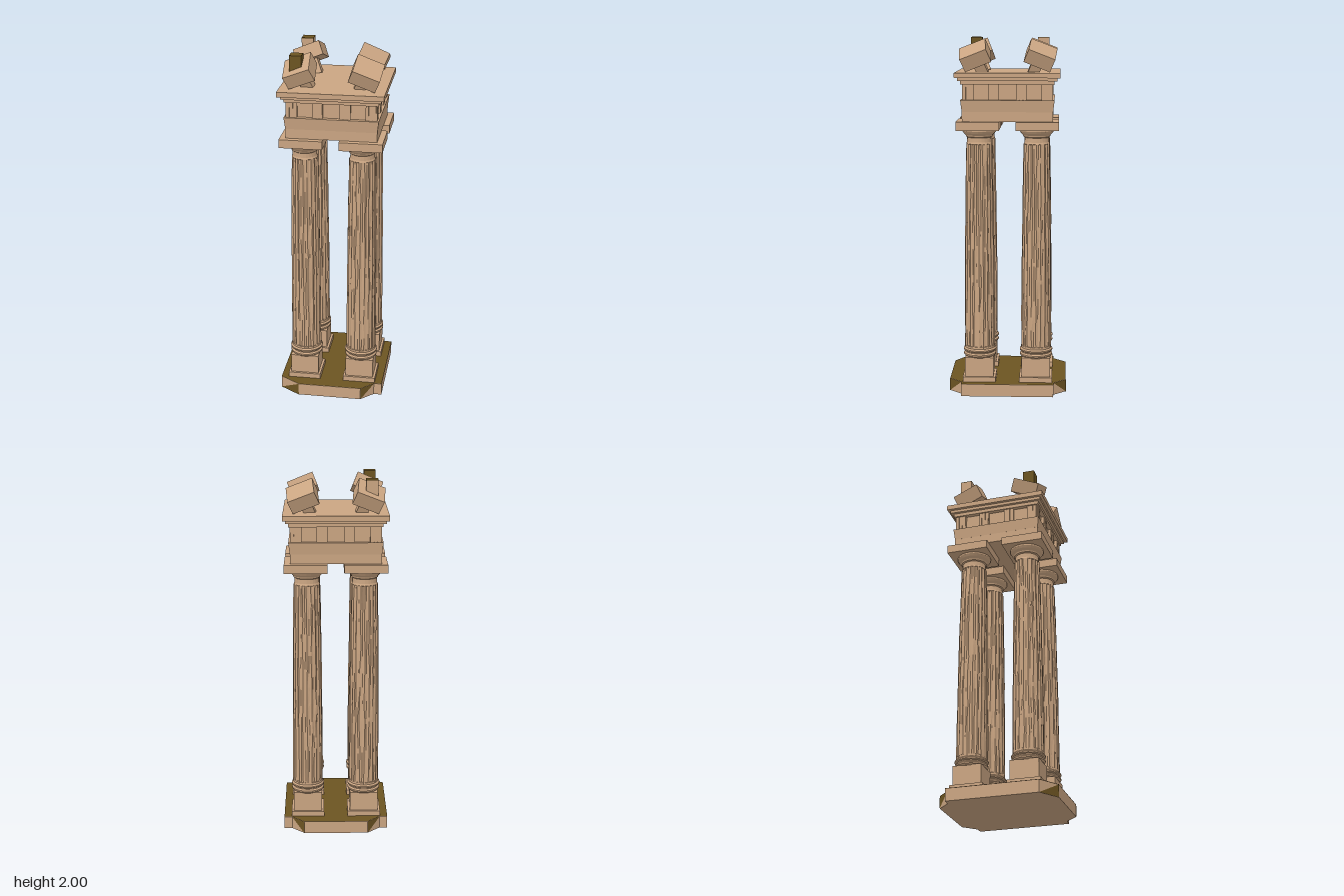
import * as THREE from 'three';

const stone = new THREE.MeshStandardMaterial({ color: 0xcaa582, flatShading: true });
stone.name = 'sandstone';
const earth = new THREE.MeshStandardMaterial({ color: 0x6c5422, flatShading: true, side: THREE.DoubleSide });
earth.name = 'dark earth';

function add(parent, name, geometry, material, x = 0, y = 0, z = 0) {
  const mesh = new THREE.Mesh(geometry, material);
  mesh.name = name;
  mesh.position.set(x, y, z);
  parent.add(mesh);
  return mesh;
}

// Box given by its bottom and top heights
function slab(parent, name, w, y0, y1, d, x = 0, z = 0, material = stone) {
  return add(parent, name, new THREE.BoxGeometry(w, y1 - y0, d), material, x, (y0 + y1) / 2, z);
}

// Small repeatable noise in 0..1
function noise(a, b, c) {
  const s = Math.sin(a * 12.99 + b * 78.23 + c * 37.72) * 43758.55;
  return s - Math.floor(s);
}

// Weathered fluted shaft: every other edge is pulled inwards unevenly
function shaftGeometry(seed) {
  const sides = 40, rows = 12, y0 = 0.26, y1 = 1.42;
  const g = new THREE.CylinderGeometry(1, 1, y1 - y0, sides, rows, true);
  const p = g.attributes.position;
  for (let i = 0; i < p.count; i++) {
    const row = Math.floor(i / (sides + 1)), j = (i % (sides + 1)) % sides;
    const t = 1 - row / rows;
    let r = 0.086 - 0.012 * t * t;
    const n = noise(j, row, seed);
    r -= j % 2 ? 0.003 + 0.006 * n : 0.002 * n;
    const a = (j + (noise(row, j, seed + 5) - 0.5) * 0.5) / sides * Math.PI * 2;
    p.setXYZ(i, Math.sin(a) * r, p.getY(i) + (y0 + y1) / 2, Math.cos(a) * r);
  }
  g.computeVertexNormals();
  return g;
}

const lathe = (pts, n = 24) => new THREE.LatheGeometry(pts.map(([r, y]) => new THREE.Vector2(r, y)), n);

function makeColumn(sx, sz, seed) {
  const column = new THREE.Group();
  column.name = 'column';
  slab(column, 'plinthFoot', 0.186, 0.07, 0.1, 0.186);
  slab(column, 'plinth', 0.16, 0.1, 0.21, 0.16);
  add(column, 'columnBase', lathe([[0, 0.205], [0.084, 0.207], [0.092, 0.216], [0.092, 0.224], [0.084, 0.232],
    [0.085, 0.238], [0.093, 0.243], [0.093, 0.25], [0.085, 0.258], [0.085, 0.27], [0.078, 0.275]]), stone);
  add(column, 'flutedShaft', shaftGeometry(seed), stone);
  add(column, 'capital', lathe([[0.06, 1.41], [0.072, 1.42], [0.068, 1.43], [0.067, 1.455], [0.074, 1.46],
    [0.076, 1.468], [0.088, 1.48], [0.096, 1.492], [0.096, 1.502]]), stone);
  slab(column, 'abacus', 0.238, 1.5, 1.547, 0.238, sx * 0.004, sz * 0.004);
  column.position.set(sx * 0.16, 0, sz * 0.16);
  return column;
}

// Floor slab with cut corners and an earthy top
function makeBase() {
  const base = new THREE.Group();
  base.name = 'base';
  const outline = [
    [0.18, 0.33], [0.25, 0.26], [0.295, 0.26], [0.295, -0.26], [0.25, -0.26], [0.18, -0.33],
    [-0.18, -0.33], [-0.25, -0.26], [-0.295, -0.26], [-0.295, 0.255], [-0.18, 0.33],
  ];
  const shape = new THREE.Shape(outline.map(([x, z]) => new THREE.Vector2(x, -z)));
  const body = new THREE.ExtrudeGeometry(shape, { depth: 0.07, bevelEnabled: false });
  add(base, 'floorSlab', body.rotateX(-Math.PI / 2), stone);
  add(base, 'floorTop', new THREE.ShapeGeometry(shape).rotateX(-Math.PI / 2), earth, 0, 0.0712, 0);
  // Broken triangles on the cut corners
  for (const sx of [-1, 1]) for (const sz of [-1, 1]) {
    const wide = sx < 0 && sz > 0;
    const far = wide ? [-0.295, 0, 0.255] : [sx * 0.25, 0.07, sz * 0.26];
    const tri = new THREE.BufferGeometry();
    tri.setAttribute('position', new THREE.Float32BufferAttribute(
      [sx * 0.18, 0, sz * 0.33, sx * 0.18, 0.07, sz * 0.33, ...far], 3));
    // Wind each triangle to face outwards
    tri.setIndex(sx * sz > 0 ? [0, 2, 1] : [0, 1, 2]);
    tri.computeVertexNormals();
    add(base, 'brokenCorner', tri, earth, sx * 0.0012, 0, sz * 0.0012);
  }
  return base;
}

// Beam, frieze with upright blocks, and cornice
function makeEntablature() {
  const top = new THREE.Group();
  top.name = 'entablature';
  slab(top, 'architraveLower', 0.5, 1.547, 1.61, 0.5);
  const beam = slab(top, 'architraveUpper', 0.516, 1.6, 1.665, 0.516);
  // Worn lower edge
  const p = beam.geometry.attributes.position;
  for (let i = 0; i < p.count; i++) if (p.getY(i) < 0) p.setXYZ(i, p.getX(i) * 0.97, p.getY(i), p.getZ(i) * 0.97);
  beam.geometry.computeVertexNormals();
  slab(top, 'friezeCore', 0.464, 1.66, 1.765, 0.464);
  for (let side = 0; side < 4; side++) {
    const face = new THREE.Group();
    face.name = 'friezeSide';
    face.rotation.y = side * Math.PI / 2;
    for (const x of [-0.215, -0.075, 0.075, 0.215]) {
      for (const dx of [-0.02, 0, 0.02]) slab(face, 'friezeBar', 0.015, 1.665, 1.75, 0.03, x + dx, 0.234);
      slab(face, 'friezeBlock', 0.058, 1.665, 1.75, 0.02, x, 0.234);
    }
    top.add(face);
  }
  slab(top, 'friezeCap', 0.514, 1.75, 1.772, 0.514);
  slab(top, 'corniceLower', 0.545, 1.77, 1.787, 0.545);
  slab(top, 'cornice', 0.578, 1.787, 1.815, 0.578);
  return top;
}

// Tilted block on a leaning stub, facing outwards on each roof corner
function makeRoofBlock(sx, sz) {
  const block = new THREE.Group();
  block.name = 'roofBlock';
  const tilted = new THREE.Group();
  tilted.name = 'tiltedBlock';
  const normal = new THREE.Vector3(sx * 0.365, 0.855, sz * 0.365).normalize();
  tilted.quaternion.setFromUnitVectors(new THREE.Vector3(0, 1, 0), normal);
  tilted.position.set(sx * 0.18, 1.907, sz * 0.18);
  slab(tilted, 'cap', 0.155, -0.04, 0.04, 0.155);
  slab(tilted, 'stub', 0.06, -0.125, -0.03, 0.06);
  block.add(tilted);
  // Upright post through the blocks on one side
  if (sx < 0) {
    slab(block, 'uprightPost', 0.066, 1.9, 1.996, 0.066, -0.196, sz * 0.193, sz > 0 ? earth : stone);
    slab(block, 'postTop', 0.066, 1.996, 2, 0.066, -0.196, sz * 0.193, earth);
  }
  return block;
}

export function createModel() {
  const model = new THREE.Group();
  model.name = 'ruinedColumnTower';
  model.add(makeBase(), makeEntablature());
  let seed = 1;
  for (const sx of [-1, 1]) for (const sz of [-1, 1]) {
    model.add(makeColumn(sx, sz, seed++), makeRoofBlock(sx, sz));
  }
  return model;
}
